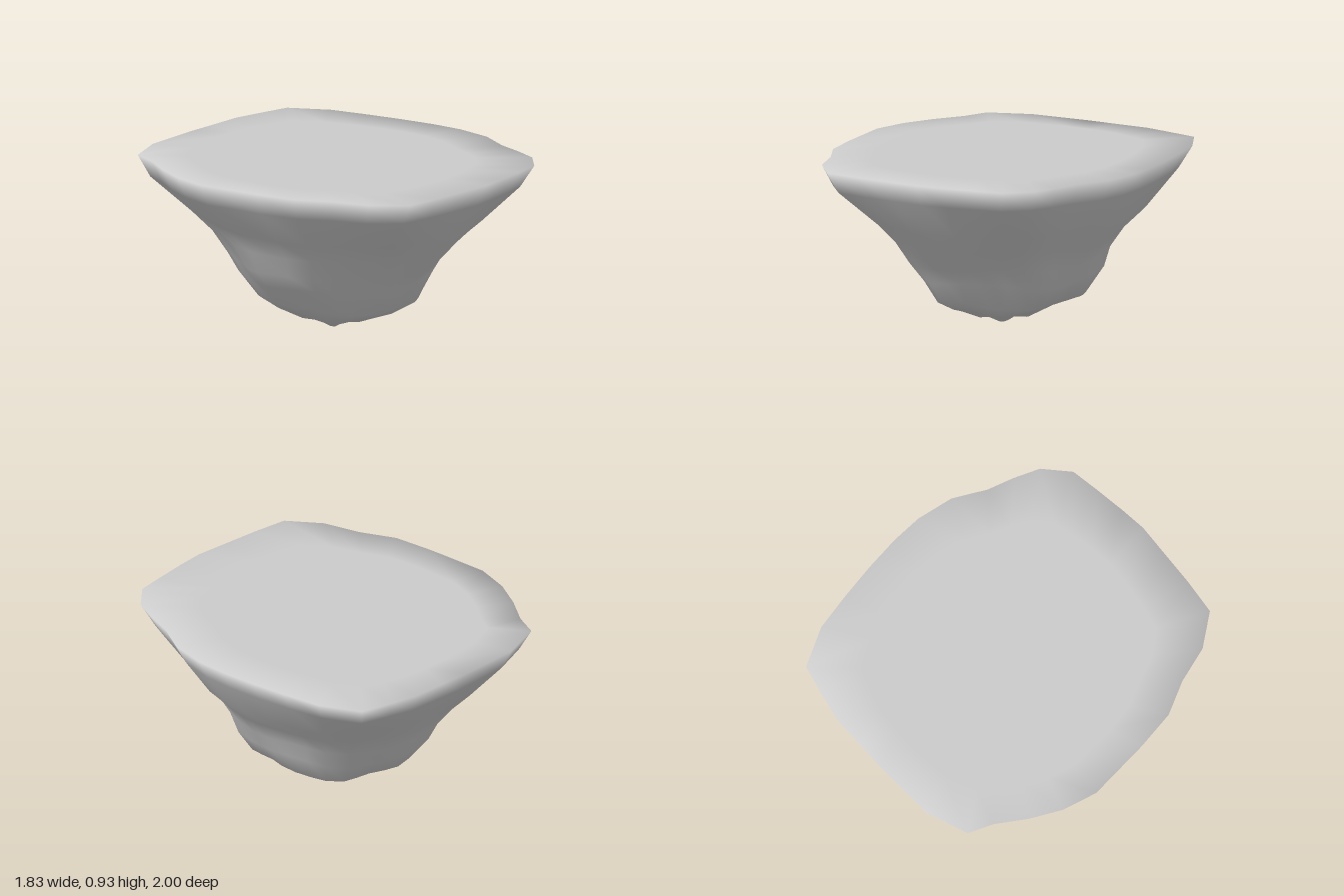
import * as THREE from 'three';

// Outline of the flat top as [x, z], clockwise seen from above
const RIM = [
  [-.36, -1], [0, -1], [.17, -.99], [.37, -.98], [.53, -.94], [.71, -.89], [.82, -.67], [.86, -.45],
  [.89, -.24], [.91, -.03], [.91, .15], [.87, .36], [.77, .54], [.72, .69], [.66, .83], [.52, .95],
  [.36, .97], [.17, .99], [.02, 1], [-.18, .98], [-.38, .96], [-.58, .93], [-.71, .75], [-.77, .54],
  [-.86, .35], [-.89, .12], [-.915, -.25], [-.86, -.45], [-.77, -.62], [-.66, -.78], [-.6, -.92],
];

// Rock levels: height, reach to -x, +x, +z, -z, roundness, bump depth
const LEVELS = [
  [.93, .915, .91, 1, 1, 0, 0],
  [.81, .87, .85, .94, .95, .12, 0],
  [.61, .68, .74, .79, .81, .55, .03],
  [.50, .6, .64, .7, .72, .75, .05],
  [.38, .56, .57, .6, .64, .9, .08],
  [.28, .48, .55, .52, .61, 1, .1],
  [.15, .37, .46, .46, .5, 1, .1],
  [.09, .29, .27, .34, .38, 1, .12],
  [.03, .14, .13, .12, .25, 1, .15],
];

function levelPoint([x, z], [y, left, right, front, back, round, bump]) {
  // blend from the squarish rim to a circle, then press in shallow vertical lobes
  const u = x / .9125, v = z, len = Math.hypot(u, v), a = Math.atan2(v, u);
  const lobes = .5 + .3 * Math.sin(5 * a + 1 + 2 * y) + .2 * Math.sin(9 * a - 4 * y);
  const k = (1 + round * (1 / len - 1)) * (1 - bump * lobes);
  const drop = bump * .12 * Math.sin(4 * a + 9 * y);
  return [u * k * (u > 0 ? right : left), y + drop, v * k * (v > 0 ? front : back)];
}

export function createModel() {
  const n = RIM.length, pos = [], index = [];
  const rings = [];
  const addRing = (points) => {
    rings.push(pos.length / 3);
    points.forEach((p) => pos.push(...p));
  };

  // Flat top: two inner rings, then the rim and the rock levels below it
  for (const s of [.4, .76]) addRing(RIM.map(([x, z]) => {
    const round = 1 + .3 * (1 / Math.hypot(x / .91, z) - 1);
    return [x * s * round - .02, .93, z * s * round - .04];
  }));
  for (const level of LEVELS) addRing(RIM.map((p) => levelPoint(p, level)));

  const top = pos.length / 3;
  pos.push(-.02, .93, -.04);
  const tip = top + 1;
  pos.push(-.01, 0, -.1);

  // Skin the rings, sharing vertices so the whole rock shades smoothly
  for (let i = 0; i < n; i++) {
    const j = (i + 1) % n;
    index.push(top, rings[0] + j, rings[0] + i);
    for (let r = 0; r < rings.length - 1; r++) {
      const a = rings[r], b = rings[r + 1];
      index.push(a + i, a + j, b + i, a + j, b + j, b + i);
    }
    const last = rings[rings.length - 1];
    index.push(tip, last + i, last + j);
  }

  const geometry = new THREE.BufferGeometry();
  geometry.setAttribute('position', new THREE.Float32BufferAttribute(pos, 3));
  geometry.setIndex(index);
  geometry.computeVertexNormals();

  const rock = new THREE.Mesh(geometry, new THREE.MeshStandardMaterial({ color: 0xcccccc }));
  rock.name = 'flatToppedRock';
  const group = new THREE.Group();
  group.name = 'floatingIsland';
  group.add(rock);
  return group;
}
